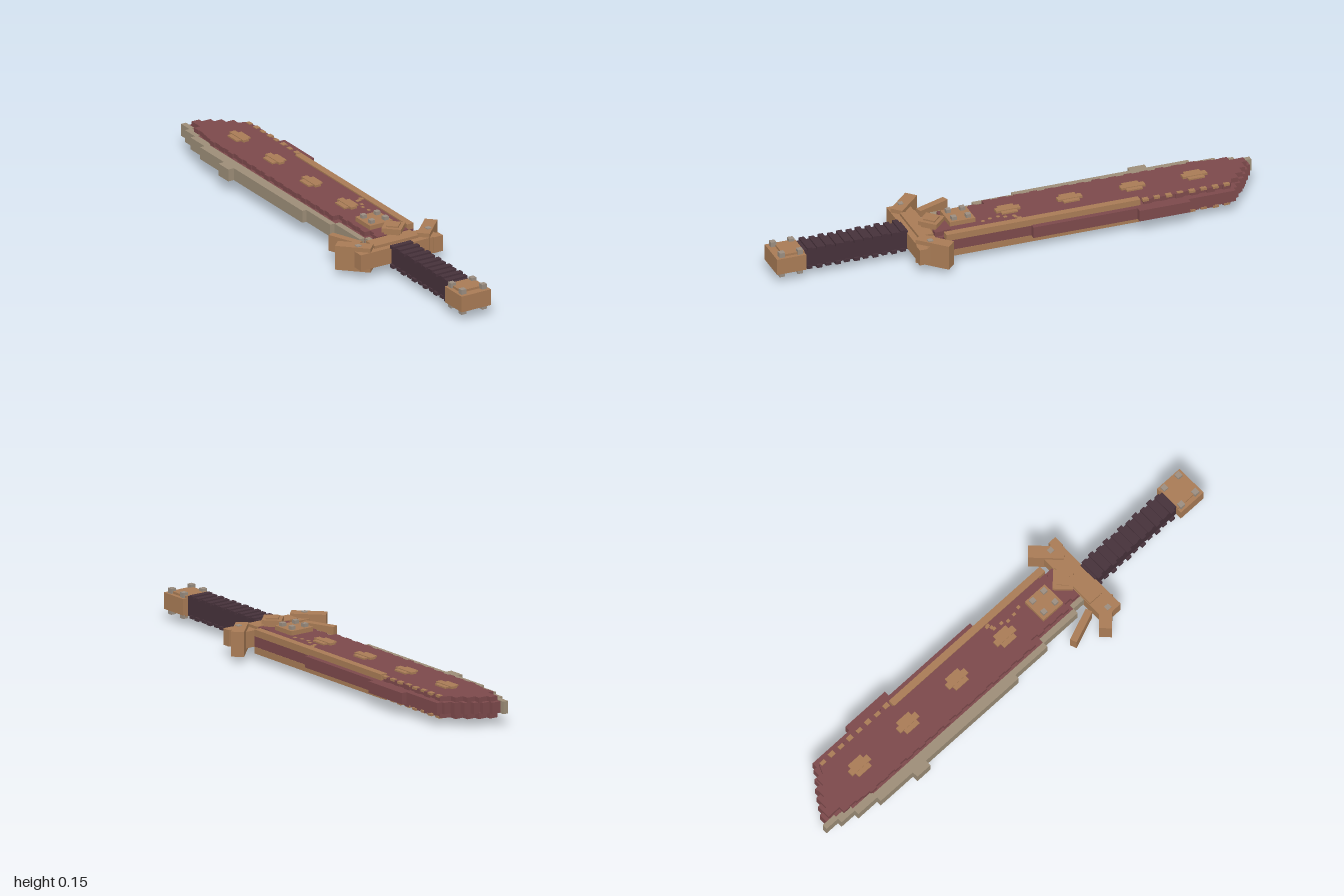
import * as THREE from 'three';

const mat = (name, color) => {
  const m = new THREE.MeshStandardMaterial({ color });
  m.name = name;
  return m;
};

export function createModel() {
  const maroon = mat('maroon blade', 0x7c494b);
  const brass = mat('brass', 0xa87b55);
  const pale = mat('pale edge', 0x9c8d77);
  const grip = mat('dark grip', 0x46313a);
  const steel = mat('rivet grey', 0x9a8d80);

  const sword = new THREE.Group();
  sword.name = 'sword';
  const MID = 0.079; // height of the sword's middle plane

  const add = (name, geo, material, parent = sword) => {
    const m = new THREE.Mesh(geo, material);
    m.name = name;
    parent.add(m);
    return m;
  };
  // Box given by its limits on each axis
  const box = (name, material, [x0, x1], [y0, y1], [z0, z1], parent) => {
    const m = add(name, new THREE.BoxGeometry(x1 - x0, y1 - y0, z1 - z0), material, parent);
    m.position.set((x0 + x1) / 2, (y0 + y1) / 2, (z0 + z1) / 2);
    return m;
  };
  // Same box on the upper and lower face
  const both = (name, material, x, [y0, y1], z) => {
    box(name + 'Top', material, x, [y0, y1], z);
    box(name + 'Bottom', material, x, [2 * MID - y1, 2 * MID - y0], z);
  };
  // Flat slab from an outline of [x, z] points
  const slab = (name, material, pts, y0, y1) => {
    const shape = new THREE.Shape(pts.map(([x, z]) => new THREE.Vector2(x, -z)));
    const geo = new THREE.ExtrudeGeometry(shape, { depth: y1 - y0, bevelEnabled: false });
    geo.rotateX(-Math.PI / 2);
    add(name, geo, material).position.y = y0;
  };
  let seed = 7;
  const rand = () => (seed = (seed * 16807) % 2147483647) / 2147483647;

  // Blade core: stepped back edge and slanted, notched tip
  slab('bladeCore', maroon, [
    [-0.05, 0.37], [-0.05, 0.31], [-0.07, 0.31], [-0.07, 0.13], [-0.09, 0.13], [-0.09, -0.77],
    [-0.08, -0.77], [-0.08, -0.87], [-0.06, -0.87], [-0.06, -0.94], [-0.05, -0.94], [-0.05, -0.98],
    [-0.01, -0.98], [-0.01, -0.96], [0.02, -0.96], [0.02, -0.94], [0.05, -0.94], [0.05, -0.92],
    [0.08, -0.92], [0.08, -0.895], [0.11, -0.895], [0.11, -0.87], [0.14, -0.87], [0.14, -0.855],
    [0.163, -0.855], [0.163, -0.66], [0.185, -0.66], [0.185, -0.45], [0.163, -0.45], [0.163, -0.02],
    [0.14, -0.02], [0.14, 0.33], [0.11, 0.33], [0.11, 0.37],
  ], 0.057, 0.103);

  // Face plates with ragged edges on both sides of the core
  const leftX = z => (z > 0.3 ? -0.045 : z > 0.12 ? -0.062 : z > -0.78 ? -0.084 : z > -0.88 ? -0.074 : -0.052);
  const rightX = z => (z > 0.3 ? 0.1 : z > -0.47 ? 0.125 : 0.142);
  const ragged = [];
  const step = 0.0325;
  for (let i = 0; i < 40; i++) {
    const z = 0.36 - i * step, x = leftX(z) + (i % 2) * 0.006 + rand() * 0.005;
    ragged.push([x, z], [x, z - step]);
  }
  ragged.push([-0.045, -0.965], [-0.01, -0.965], [-0.01, -0.945], [0.03, -0.945], [0.03, -0.92],
    [0.065, -0.92], [0.065, -0.89], [0.1, -0.89], [0.1, -0.86]);
  for (let i = 36; i >= 0; i--) {
    const z = 0.36 - i * step, x = rightX(z) - (i % 2) * 0.007 - rand() * 0.004;
    ragged.push([x, z - step], [x, z]);
  }
  slab('facePlateTop', maroon, ragged, 0.1, 0.122);
  slab('facePlateBottom', maroon, ragged, 0.036, 0.06);

  // Pale cutting edge in steps: x0, x1, z0, z1
  [
    [-0.07, -0.048, -1, -0.94], [-0.09, -0.058, -0.94, -0.87], [-0.11, -0.078, -0.87, -0.77],
    [-0.13, -0.088, -0.77, -0.04], [-0.155, -0.125, -0.6, -0.53], [-0.112, -0.088, -0.04, 0.13],
    [-0.092, -0.068, 0.13, 0.31], [-0.068, -0.048, 0.31, 0.37],
  ].forEach(([x0, x1, z0, z1]) => box('cuttingEdge', pale, [x0, x1], [0.055, 0.105], [z0, z1]));

  // Brass inlay along the spine, then worn brass flecks to the tip
  both('spineInlay', brass, [0.112, 0.141], [0.1, 0.127], [-0.47, 0.33]);
  for (let i = 0; i < 8; i++) {
    const z = -0.84 + i * 0.048;
    both('spineFleck', brass, [0.125, 0.14 + (i % 2) * 0.004], [0.116, 0.125], [z, z + 0.024]);
  }
  for (let i = 0; i < 9; i++) {
    const x = 0.05 + rand() * 0.055, z = -0.01 + rand() * 0.2;
    both('wornFleck', brass, [x, x + 0.012], [0.118, 0.1235], [z, z + 0.014]);
  }

  // Cross-shaped studs down the blade
  for (const z of [-0.735, -0.48, -0.22, 0.035]) {
    both('studWide', brass, [-0.007, 0.057], [0.118, 0.128], [z - 0.033, z + 0.033]);
    both('studLong', brass, [0.013, 0.039], [0.118, 0.131], [z - 0.05, z + 0.05]);
  }

  // Riveted plate near the guard
  box('rivetedPlate', brass, [-0.032, 0.072], [0.118, 0.14], [0.185, 0.29]);
  for (const x of [-0.01, 0.052]) for (const z of [0.208, 0.267])
    box('plateRivet', steel, [x - 0.01, x + 0.01], [0.138, 0.154], [z - 0.01, z + 0.01]);

  // Diamond bosses on both faces
  for (const s of [1, -1]) {
    const boss = new THREE.Group();
    boss.name = s > 0 ? 'diamondBossTop' : 'diamondBossBottom';
    boss.position.set(0.035, MID, 0.352);
    boss.rotation.y = Math.PI / 4;
    sword.add(boss);
    const y = (a, b) => (s > 0 ? [a, b] : [-b, -a]);
    box('diamond', brass, [-0.039, 0.039], y(0.054, 0.071), [-0.039, 0.039], boss);
    box('diamondCap', brass, [-0.024, 0.024], y(0.07, 0.077), [-0.024, 0.024], boss);
    box('diamondNeck', brass, [-0.03, 0.03], y(0.03, 0.056), [-0.03, 0.03], boss);
  }

  // Guard with flared ends
  box('guardBar', brass, [-0.18, 0.18], [0.045, 0.111], [0.365, 0.455]);
  box('guardCentre', brass, [-0.1, 0.1], [0.036, 0.122], [0.368, 0.43]);
  box('guardChip', brass, [0.15, 0.192], [0.045, 0.111], [0.425, 0.46]);
  for (const s of [-1, 1]) {
    const end = add('guardEnd', new THREE.BoxGeometry(0.14, 0.1, 0.05), brass);
    end.position.set(s * 0.167, 0.078, 0.388);
    end.rotation.y = s * Math.PI / 4;
    both('guardRivet', steel, [s * 0.16 - 0.01, s * 0.16 + 0.01], [0.12, 0.131], [0.395, 0.415]);
  }
  const prong = add('guardProng', new THREE.BoxGeometry(0.028, 0.066, 0.14), brass);
  prong.position.set(-0.14, MID, 0.283);
  prong.rotation.y = 0.37;

  // Grip with wrapped bands
  box('gripCore', grip, [-0.04, 0.04], [0.04, 0.118], [0.45, 0.885]);
  for (let i = 0; i < 11; i++) {
    const z = 0.46 + i * 0.0385, d = (i % 2) * 0.005;
    both('gripBand', grip, [-0.05 + d, 0.044 + d], [0.112, 0.125], [z, z + 0.022]);
  }

  // Pommel with riveted caps
  box('pommel', brass, [-0.068, 0.066], [0.045, 0.111], [0.88, 1]);
  both('pommelCap', brass, [-0.05, 0.05], [0.11, 0.12], [0.882, 0.968]);
  for (const x of [-0.048, 0.046]) for (const z of [0.9, 0.975])
    both('pommelRivet', steel, [x - 0.011, x + 0.011], [0.109, 0.131], [z - 0.011, z + 0.011]);

  return sword;
}
